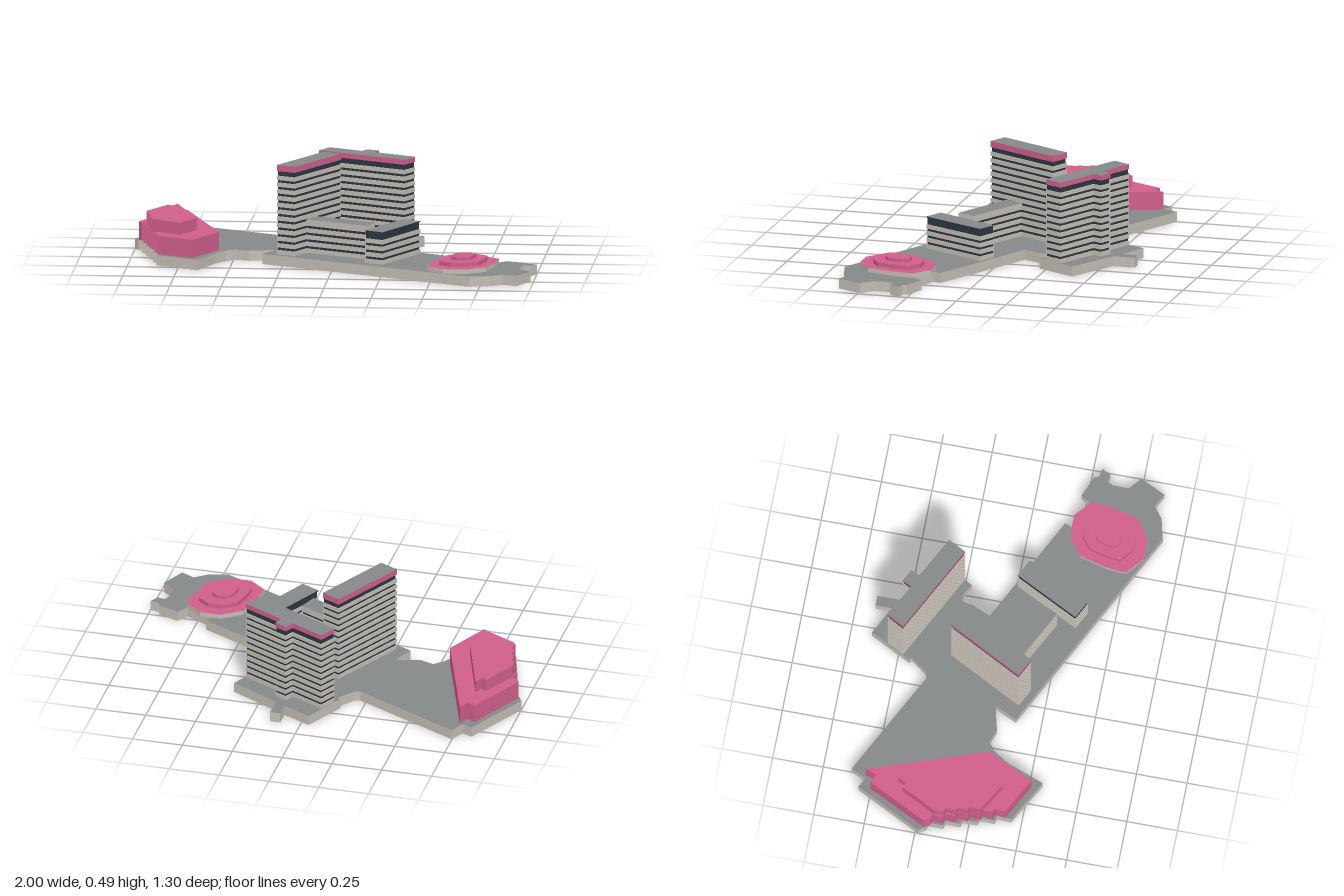
import * as THREE from 'three';

const mat = (name, color) => Object.assign(new THREE.MeshStandardMaterial({ color }), { name });

// Corners of a sawtooth edge running between two points (both ends included)
function stairs([x0, z0], [x1, z1], n, depth) {
  const dx = (x1 - x0) / n, dz = (z1 - z0) / n, len = Math.hypot(dx, dz);
  const nx = dz / len * depth, nz = -dx / len * depth;
  const out = [];
  for (let i = 0; i < n; i++) {
    out.push([x0 + dx * i, z0 + dz * i]);
    out.push([x0 + dx * (i + 0.8) + nx, z0 + dz * (i + 0.8) + nz]);
  }
  return [...out, [x1, z1]];
}

// Moves every edge of an outline inwards by d
function inset(pts, d) {
  const n = pts.length;
  const area = pts.reduce((s, p, i) => s + p[0] * pts[(i + 1) % n][1] - pts[(i + 1) % n][0] * p[1], 0);
  const k = Math.sign(area) * d;
  const normal = (a, b) => {
    const l = Math.hypot(b[0] - a[0], b[1] - a[1]);
    return [-(b[1] - a[1]) / l, (b[0] - a[0]) / l];
  };
  return pts.map((p, i) => {
    const a = normal(pts[(i + n - 1) % n], p), b = normal(p, pts[(i + 1) % n]);
    const f = k / (1 + a[0] * b[0] + a[1] * b[1]);
    return [p[0] + (a[0] + b[0]) * f, p[1] + (a[1] + b[1]) * f];
  });
}

// Upright prism over an [x, z] outline with separate top, side and bottom colours
function prism(name, pts, y0, y1, side, top = side) {
  const shape = new THREE.Shape(pts.map(([x, z]) => new THREE.Vector2(x, -z)));
  const geo = new THREE.ExtrudeGeometry(shape, { depth: y1 - y0, bevelEnabled: false });
  const [caps, walls] = geo.groups.map((g) => ({ ...g }));
  geo.clearGroups();
  geo.addGroup(0, caps.count / 2, 0);
  geo.addGroup(caps.count / 2, caps.count / 2, 1);
  geo.addGroup(walls.start, walls.count, 0);
  geo.rotateX(-Math.PI / 2).translate(0, y0, 0);
  const mesh = new THREE.Mesh(geo, [side, top]);
  mesh.name = name;
  return mesh;
}

export function createModel() {
  const model = new THREE.Group();
  model.name = 'buildingComplex';
  const grey = mat('roofGrey', 0x86898a);
  const stone = mat('paleStone', 0xc4beb3);
  const navy = mat('darkGlass', 0x2b3543);
  const pink = mat('pink', 0xd05f8c);
  const GROUND = 0.05, FLOOR = 0.0333, SLAB = 0.021;

  // Podium
  const podium = [
    [-1, -0.235], [-0.835, -0.56], [-0.785, -0.535], [-0.75, -0.61], [-0.22, -0.34], [-0.19, -0.35],
    [-0.13, -0.43], [-0.145, -0.44], [-0.04, -0.645], [0.1, -0.575], [0.1, -0.655], [0.15, -0.655],
    [0.15, -0.545], [0.395, -0.41], [0.29, -0.215], [0.24, -0.245], [0.2, -0.25], [0.19, -0.19],
    [0.15, -0.1], [0.69, 0.17], [0.675, 0.205], [0.81, 0.275], [0.845, 0.22], [0.95, 0.265],
    [0.955, 0.285], [1, 0.295], [0.975, 0.34], [0.94, 0.33], [0.925, 0.36], [0.925, 0.44],
    [0.985, 0.49], [0.925, 0.615], [0.86, 0.58], [0.8, 0.625], [0.7, 0.65], [-0.35, 0.125],
    [-0.3, 0.015], [-0.42, 0.045], [-0.49, 0.02], [-0.535, 0.06], [-0.58, 0.13], [-0.65, 0.315],
    ...stairs([-0.86, 0.2], [-0.98, -0.2], 5, -0.022),
  ];
  model.add(prism('podium', podium, 0, GROUND, stone, grey));

  // Striped block: dark core, projecting floor bands, coloured crown
  function block(name, pts, floors, crownY, topY, crown) {
    const group = new THREE.Group();
    group.name = name;
    group.add(prism('glassCore', inset(pts, 0.004), GROUND, crownY, navy));
    for (let i = 0; i < floors; i++) {
      const y = GROUND + i * FLOOR;
      group.add(prism('floorBand', pts, y, y + SLAB, stone));
    }
    group.add(prism('crown', pts, crownY, topY, crown, grey));
    model.add(group);
  }
  block('tallTower', [[-0.085, -0.245], [0.005, -0.2], [-0.19, 0.17], [-0.28, 0.125]], 12, 0.46, 0.49, pink);
  block('rearTower', [
    [-0.08, -0.56], [0.085, -0.475], [0.108, -0.52], [0.167, -0.49], [0.148, -0.447],
    [0.355, -0.34], [0.31, -0.253], [-0.125, -0.475],
  ], 11, 0.43, 0.455, pink);
  block('lowWing', [[-0.1, -0.015], [0.2, 0.14], [0.165, 0.23], [-0.14, 0.075]], 5, 0.204, 0.215, stone);
  block('crossWing', [[0.325, 0.005], [0.412, 0.05], [0.255, 0.367], [0.165, 0.32]], 4, 0.205, 0.21, navy);

  // Stepped hall
  const hall = new THREE.Group();
  hall.name = 'steppedHall';
  hall.add(prism('lowerTier', [
    [-0.77, -0.535], [-0.57, 0.04], [-0.68, 0.265],
    ...stairs([-0.86, 0.17], [-0.965, -0.18], 6, -0.02),
    [-0.98, -0.21], [-0.835, -0.5], [-0.79, -0.48],
  ], GROUND, 0.14, pink));
  hall.add(prism('upperTier', [
    [-0.805, -0.37], [-0.68, 0], [-0.75, 0.135],
    ...stairs([-0.895, 0.05], [-0.935, -0.12], 3, -0.015),
    [-0.94, -0.165], [-0.85, -0.34], [-0.825, -0.325],
  ], 0.14, 0.2, pink));
  model.add(hall);

  // Round pavilion: three shrinking tiers, point-symmetric outline
  const half = [[-0.015, -0.187], [0.08, -0.187], [0.165, -0.115], [0.155, -0.015], [0.12, 0.12], [0.04, 0.178]];
  const ring = [...half, ...half.map(([x, z]) => [-x, -z])];
  const pavilion = new THREE.Group();
  pavilion.name = 'pavilion';
  [[1, GROUND, 0.072, stone], [0.68, 0.072, 0.093, pink], [0.35, 0.093, 0.11, pink]].forEach(([s, y0, y1, side]) => {
    pavilion.add(prism('pavilionTier', ring.map(([x, z]) => [0.65 + x * s, 0.393 + z * s]), y0, y1, side, pink));
  });
  model.add(pavilion);
  return model;
}
